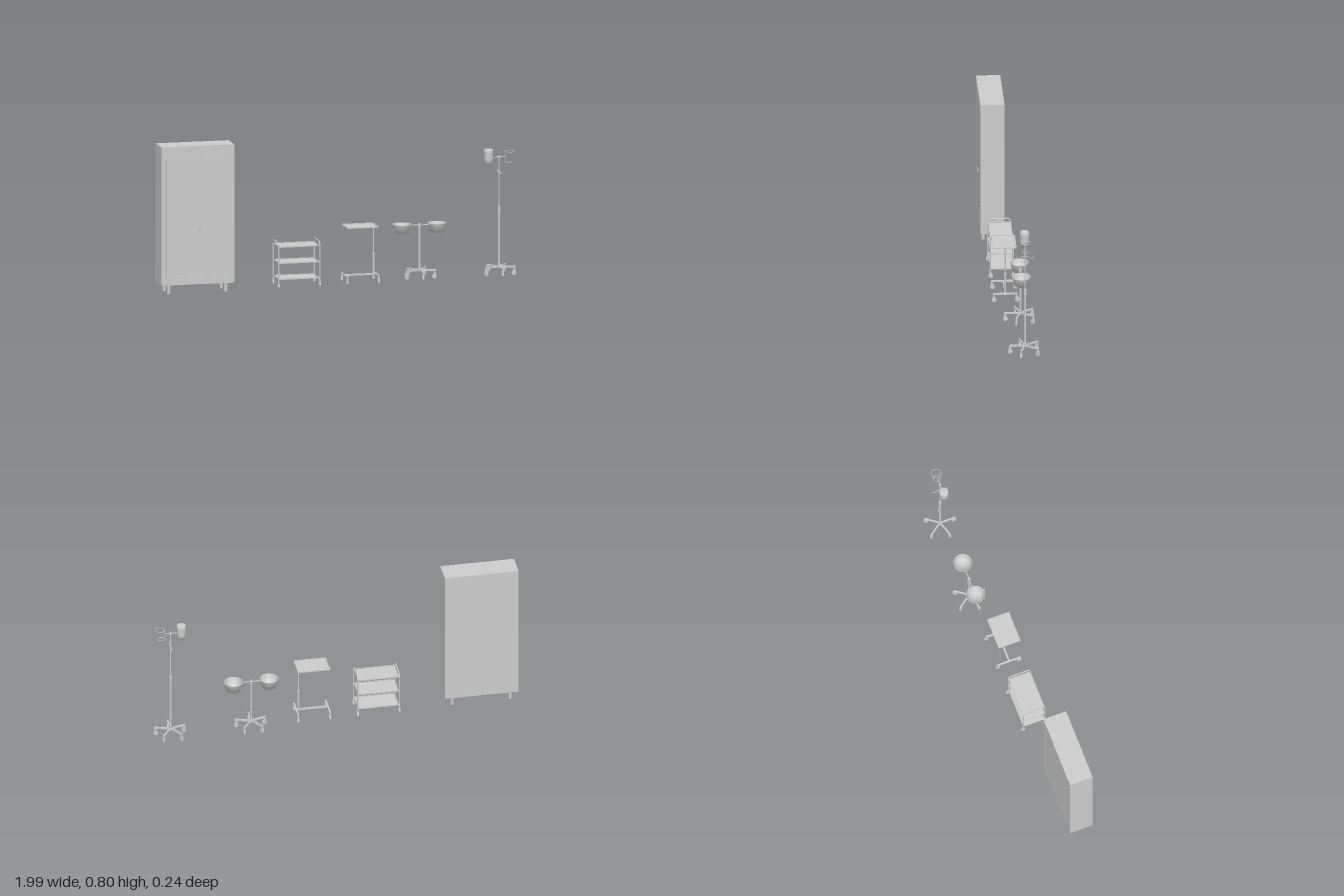
import * as THREE from 'three';

const grey = new THREE.MeshStandardMaterial({ color: 0xcccccc, side: THREE.DoubleSide });
const V = (x, y, z) => new THREE.Vector3(x, y, z);

function add(parent, name, geometry, x = 0, y = 0, z = 0) {
  const mesh = new THREE.Mesh(geometry, grey);
  mesh.name = name;
  mesh.position.set(x, y, z);
  parent.add(mesh);
  return mesh;
}
function group(parent, name, x = 0, y = 0, z = 0) {
  const g = new THREE.Group();
  g.name = name;
  g.position.set(x, y, z);
  parent.add(g);
  return g;
}
const box = (p, name, w, h, d, x, y, z) => add(p, name, new THREE.BoxGeometry(w, h, d), x, y, z);

// Upright cylinder between two heights
const post = (p, name, r, y0, y1, x = 0, z = 0) =>
  add(p, name, new THREE.CylinderGeometry(r, r, y1 - y0, 20), x, (y0 + y1) / 2, z);

// Bent rod: straight runs with rounded corners
function rod(p, name, pts, r, bend = 0.012) {
  const path = new THREE.CurvePath();
  let from = pts[0];
  for (let i = 1; i < pts.length - 1; i++) {
    const a = pts[i].clone().add(pts[i - 1].clone().sub(pts[i]).setLength(bend));
    const b = pts[i].clone().add(pts[i + 1].clone().sub(pts[i]).setLength(bend));
    path.add(new THREE.LineCurve3(from, a));
    path.add(new THREE.QuadraticBezierCurve3(a, pts[i], b));
    from = b;
  }
  path.add(new THREE.LineCurve3(from, pts[pts.length - 1]));
  return add(p, name, new THREE.TubeGeometry(path, pts.length > 2 ? 80 : 1, r, 10), 0, 0, 0);
}

// Swivel caster rolling along its local z
function caster(p, x, z, angle = 0) {
  const c = group(p, 'caster', x, 0, z);
  c.rotation.y = angle;
  const wheel = add(c, 'wheel', new THREE.CylinderGeometry(0.0125, 0.0125, 0.006, 24), 0, 0.0125, -0.003);
  wheel.rotation.z = Math.PI / 2;
  const axle = add(c, 'axle', new THREE.CylinderGeometry(0.003, 0.003, 0.013, 12), 0, 0.0125, -0.003);
  axle.rotation.z = Math.PI / 2;
  const cheek = new THREE.Shape();
  [[-0.008, 0.012], [-0.003, 0.007], [0.003, 0.007], [0.007, 0.028], [0.005, 0.032], [-0.007, 0.032]]
    .forEach(([a, b], i) => (i ? cheek.lineTo(a, b) : cheek.moveTo(a, b)));
  for (const s of [-1, 1]) {
    const m = add(c, 'forkCheek', new THREE.ExtrudeGeometry(cheek, { depth: 0.0015, bevelEnabled: false }),
      s * 0.0045 + 0.00075, 0, 0);
    m.rotation.y = -Math.PI / 2;
  }
  box(c, 'forkCrown', 0.0105, 0.003, 0.013, 0, 0.031, -0.001);
  post(c, 'casterStem', 0.004, 0.031, 0.045);
}

// Shallow tray: floor with a raised rim
function tray(p, name, x0, x1, z0, z1, y, h) {
  const t = group(p, name, (x0 + x1) / 2, y, (z0 + z1) / 2);
  const w = x1 - x0, d = z1 - z0, e = 0.003;
  box(t, 'trayFloor', w, 0.002, d, 0, 0.001, 0);
  for (const s of [-1, 1]) {
    box(t, 'trayEndRim', e, h, d, s * (w - e) / 2, h / 2, 0);
    box(t, 'traySideRim', w, h, e, 0, h / 2, s * (d - e) / 2);
  }
}

// Five-legged rolling base
function starBase(p) {
  const base = group(p, 'starBase');
  for (let i = 0; i < 5; i++) {
    const leg = group(base, 'baseLeg');
    leg.rotation.y = i * Math.PI * 2 / 5;
    box(leg, 'legBeam', 0.008, 0.009, 0.088, 0, 0.0445, 0.044);
    caster(leg, 0, 0.083);
  }
  post(base, 'baseHub', 0.011, 0.038, 0.05);
  post(base, 'baseCollar', 0.0075, 0.05, 0.066);
}

function roundRect(T, x0, x1, y0, y1, r) {
  const s = new T();
  s.moveTo(x0 + r, y0);
  s.lineTo(x1 - r, y0); s.quadraticCurveTo(x1, y0, x1, y0 + r);
  s.lineTo(x1, y1 - r); s.quadraticCurveTo(x1, y1, x1 - r, y1);
  s.lineTo(x0 + r, y1); s.quadraticCurveTo(x0, y1, x0, y1 - r);
  s.lineTo(x0, y0 + r); s.quadraticCurveTo(x0, y0, x0 + r, y0);
  return s;
}

function buildCabinet(root) {
  const g = group(root, 'cabinet', -0.799, 0, 0);
  box(g, 'cabinetBody', 0.402, 0.753, 0.126, 0, 0.4235, 0.046);
  // Front frame with door openings and a header slot
  const front = roundRect(THREE.Shape, -0.201, 0.201, 0.047, 0.8, 0.0005);
  front.holes.push(roundRect(THREE.Path, -0.178, 0.178, 0.078, 0.738, 0.02));
  front.holes.push(roundRect(THREE.Path, -0.188, 0.194, 0.767, 0.773, 0.001));
  const plate = { depth: 0.004, bevelEnabled: false };
  add(g, 'frontFrame', new THREE.ExtrudeGeometry(front, plate), 0, 0, 0.109);
  for (const [x0, x1] of [[-0.175, 0.0005], [0.0035, 0.175]])
    add(g, 'door', new THREE.ExtrudeGeometry(roundRect(THREE.Shape, x0, x1, 0.081, 0.735, 0.008), plate), 0, 0, 0.109);
  // Curved door handle
  rod(g, 'doorHandle', [V(0.011, 0.345, 0.112), V(0.011, 0.343, 0.118), V(0.011, 0.33, 0.115)], 0.0025, 0.003);
  rod(g, 'handleLever', [V(0.011, 0.343, 0.117), V(0.011, 0.352, 0.118), V(0.011, 0.362, 0.122)], 0.0025, 0.004);
  for (const x of [-0.158, 0.158]) for (const z of [-0.001, 0.096]) post(g, 'cabinetLeg', 0.0095, 0, 0.048, x, z);
  // Rear vent studs
  for (let i = 0; i < 10; i++) for (const y of [0.065, 0.782]) {
    const s = add(g, 'rearStud', new THREE.CylinderGeometry(0.0025, 0.0025, 0.001, 10), -0.17 + i * 0.0378, y, -0.0172);
    s.rotation.x = Math.PI / 2;
  }
}

function buildCart(root) {
  const g = group(root, 'shelfCart');
  for (const x of [-0.346, -0.119]) {
    rod(g, 'cartSideFrame', [V(x, 0.04, 0.088), V(x, 0.232, 0.088), V(x, 0.246, 0.077),
      V(x, 0.246, -0.025), V(x, 0.232, -0.036), V(x, 0.04, -0.036)], 0.0035, 0.007);
    for (const z of [0.088, -0.036]) caster(g, x, z);
  }
  for (const y of [0.046, 0.133, 0.221]) tray(g, 'cartShelf', -0.344, -0.121, -0.036, 0.088, y, 0.007);
}

function buildTable(root) {
  const g = group(root, 'trayTable');
  tray(g, 'tableTray', 0.031, 0.207, -0.035, 0.091, 0.308, 0.007);
  post(g, 'tableLowerPost', 0.0055, 0.045, 0.16, 0.193, 0.026);
  post(g, 'tableUpperPost', 0.0035, 0.16, 0.305, 0.193, 0.026);
  post(g, 'tableClamp', 0.007, 0.152, 0.163, 0.193, 0.026);
  box(g, 'traySupport', 0.11, 0.005, 0.008, 0.143, 0.3055, 0.026);
  box(g, 'baseBar', 0.17, 0.009, 0.009, 0.12, 0.046, 0.026);
  for (const x of [0.033, 0.206]) {
    box(g, 'baseFoot', 0.009, 0.009, 0.132, x, 0.046, 0.026);
    for (const z of [0.088, -0.036]) caster(g, x, z);
  }
}

function buildBowlStand(root) {
  const g = group(root, 'bowlStand', 0.463, 0, -0.04);
  starBase(g);
  post(g, 'standPost', 0.0055, 0.045, 0.299);
  post(g, 'postCap', 0.0075, 0.282, 0.296);
  const profile = [[0, 0.249], [0.034, 0.249], [0.046, 0.294], [0.051, 0.294], [0.0515, 0.299],
    [0.049, 0.299], [0.0475, 0.297], [0.0355, 0.251], [0, 0.251]].map(([r, y]) => new THREE.Vector2(r, y));
  // Outer wall is listed beside the inner one, meeting under the rim
  profile[2].set(0.0485, 0.294);
  profile[1].set(0.0365, 0.248);
  for (const s of [-1, 1]) {
    const bowl = add(g, 'bowl', new THREE.LatheGeometry(profile, 40), s * 0.097, 0, 0);
    bowl.geometry = bowl.geometry.toNonIndexed();
    rod(g, 'bowlArm', [V(0, 0.289, 0), V(s * 0.05, 0.289, 0)], 0.003);
  }
}

function buildDripStand(root) {
  const g = group(root, 'dripStand', 0.903, 0, -0.04);
  starBase(g);
  post(g, 'lowerPost', 0.0055, 0.045, 0.355);
  post(g, 'heightClamp', 0.0075, 0.343, 0.372);
  post(g, 'upperPost', 0.003, 0.355, 0.645);
  // Double hook
  for (const s of [-1, 1])
    rod(g, 'hook', [V(0, 0.562, 0), V(0, 0.562, s * 0.02), V(0, 0.553, s * 0.027), V(0, 0.553, s * 0.044),
      V(0, 0.567, s * 0.045)], 0.002, 0.005);
  post(g, 'hookHub', 0.005, 0.555, 0.569);
  post(g, 'armHub', 0.006, 0.632, 0.648);
  rod(g, 'holderArm', [V(-0.036, 0.64, 0), V(0.033, 0.64, 0)], 0.0025);
  // Bottle
  const profile = [[0, 0.595], [0.011, 0.595], [0.011, 0.606], [0.017, 0.608], [0.022, 0.617], [0.0245, 0.632],
    [0.0245, 0.668], [0.026, 0.668], [0.026, 0.672], [0.0245, 0.672], [0.0245, 0.68], [0.022, 0.685], [0, 0.685]];
  add(g, 'bottle', new THREE.LatheGeometry(profile.map(([r, y]) => new THREE.Vector2(r, y)), 32), -0.058, 0, 0);
  // Empty bottle holder with two rings
  rod(g, 'ringUpright', [V(0.033, 0.61, 0), V(0.033, 0.668, 0)], 0.0017);
  for (const [y, r] of [[0.668, 0.0255], [0.61, 0.019]]) {
    const ring = add(g, 'holderRing', new THREE.TorusGeometry(r, 0.0015, 8, 40), 0.033 + r, y, 0);
    ring.rotation.x = Math.PI / 2;
  }
}

export function createModel() {
  const root = new THREE.Group();
  root.name = 'medicalFurniture';
  [buildCabinet, buildCart, buildTable, buildBowlStand, buildDripStand].forEach((build) => build(root));
  return root;
}
